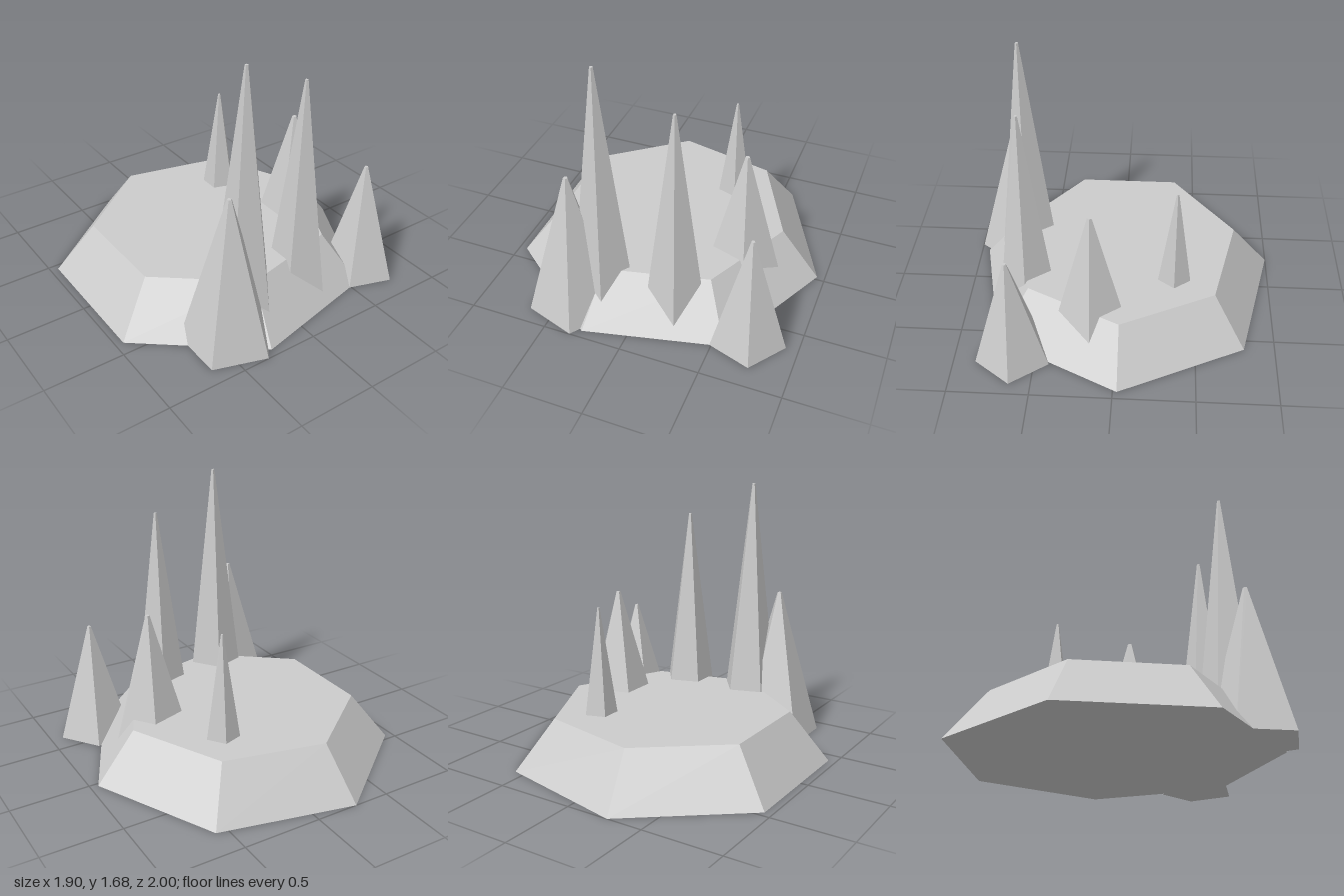
import * as THREE from 'three';

const material = new THREE.MeshStandardMaterial({ color: 0xcccccc, flatShading: true });

// Faceted frustum standing on y = 0 with one corner pointing to +x
function frustum(name, sides, topRadius, bottomRadius, height, x, z) {
  const geometry = new THREE.CylinderGeometry(topRadius, bottomRadius, height, sides, 1, false, Math.PI / 2);
  geometry.translate(0, height / 2, 0);
  const mesh = new THREE.Mesh(geometry, material);
  mesh.name = name;
  mesh.position.set(x, 0, z);
  return mesh;
}

export function createModel() {
  const group = new THREE.Group();
  group.name = 'spikedRock';

  // Seven-sided sloping rock base
  group.add(frustum('rockBase', 7, 0.75, 1.0, 0.315, -0.05, -0.025));

  // Five-sided spikes with tiny blunt tips: x, z, bottom radius, height
  const spikes = [
    [-0.255, 0.635, 0.213, 1.68],
    [0.2, 0.59, 0.205, 1.46],
    [-0.42, 0.723, 0.289, 0.965],
    [0.49, 0.155, 0.286, 0.965],
    [0.683, 0.635, 0.24, 0.76],
    [0.263, -0.355, 0.155, 0.98],
  ];
  spikes.forEach(([x, z, radius, height], i) => {
    group.add(frustum(`spike${i + 1}`, 5, radius * 0.05, radius, height, x, z));
  });

  return group;
}
